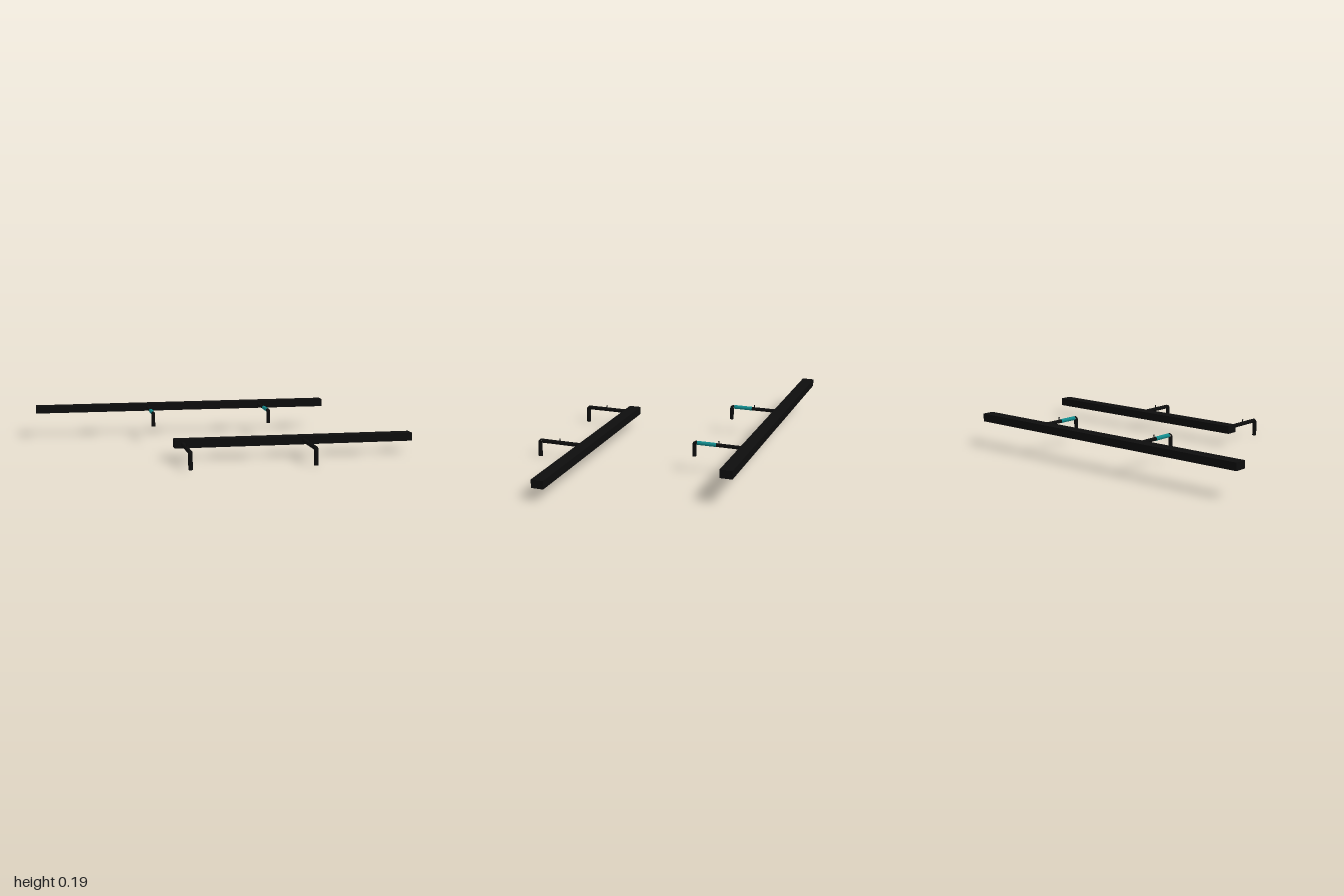
import * as THREE from 'three';

const black = new THREE.MeshStandardMaterial({ color: 0x0d0d0d });
const teal = new THREE.MeshStandardMaterial({ color: 0x118a8c });

function add(parent, name, geometry, material = black) {
  const mesh = new THREE.Mesh(geometry, material);
  mesh.name = name;
  parent.add(mesh);
  return mesh;
}

// Long bar; its section may shrink slightly towards the -x end
function bar(parent, name, [x0, x1], [y0, y1], [z0, z1], endScale = 1) {
  const geometry = new THREE.BoxGeometry(x1 - x0, y1 - y0, z1 - z0);
  const p = geometry.attributes.position;
  for (let i = 0; i < p.count; i++) {
    if (p.getX(i) < 0) p.setXYZ(i, p.getX(i), p.getY(i) * endScale, p.getZ(i));
  }
  geometry.computeVertexNormals();
  add(parent, name, geometry).position.set((x0 + x1) / 2, (y0 + y1) / 2, (z0 + z1) / 2);
}

// Round rod along z
function rod(parent, name, y, z0, z1, radius, material) {
  const mesh = add(parent, name, new THREE.CylinderGeometry(radius, radius, Math.abs(z1 - z0), 20), material);
  mesh.rotation.x = Math.PI / 2;
  mesh.position.set(0, y, (z0 + z1) / 2);
}

// Bent support: upright leg, tight elbow, arm running back to the bar, small pin on top
function support(parent, name, { x, foot, armY, legZ, barZ, radius, armRadius, pinZ, sleeve }) {
  const group = new THREE.Group();
  group.name = name;
  group.position.x = x;
  parent.add(group);

  const bend = radius * 1.25;
  const leg = add(group, 'leg', new THREE.CylinderGeometry(radius, radius, armY - bend - foot, 20));
  leg.position.set(0, (foot + armY - bend) / 2, legZ);

  const elbow = new THREE.QuadraticBezierCurve3(
    new THREE.Vector3(0, armY - bend, legZ),
    new THREE.Vector3(0, armY, legZ),
    new THREE.Vector3(0, armY, legZ - bend));
  add(group, 'elbow', new THREE.TubeGeometry(elbow, 10, radius, 20));

  rod(group, 'arm', armY, legZ - bend, barZ, armRadius, black);
  if (sleeve) rod(group, 'sleeve', armY, sleeve[0], sleeve[1], radius, teal);

  const pin = add(group, 'pin', new THREE.CylinderGeometry(0.003, 0.003, 0.02, 10));
  pin.position.set(0, armY + radius + 0.002, pinZ);
  const head = add(group, 'pinHead', new THREE.SphereGeometry(0.0036, 10, 8));
  head.position.set(0, armY + radius + 0.01, pinZ);
}

export function createModel() {
  const model = new THREE.Group();
  model.name = 'barPair';

  // Upper rear bar with sleeved supports
  bar(model, 'rearBar', [-1, 0.74], [0.139, 0.183], [-0.604, -0.538], 0.92);
  for (const x of [-0.34, 0.34]) {
    support(model, 'rearSupport', {
      x, foot: 0.087, armY: 0.161, legZ: -0.277, barZ: -0.56,
      radius: 0.0107, armRadius: 0.0098, pinZ: -0.41, sleeve: [-0.293, -0.397],
    });
  }

  // Lower front bar with plain supports
  bar(model, 'frontBar', [-0.308, 1], [0.066, 0.11], [0.278, 0.344]);
  for (const x of [-0.265, 0.39]) {
    support(model, 'frontSupport', {
      x, foot: 0, armY: 0.088, legZ: 0.592, barZ: 0.32,
      radius: 0.0115, armRadius: 0.0112, pinZ: 0.473,
    });
  }
  return model;
}
